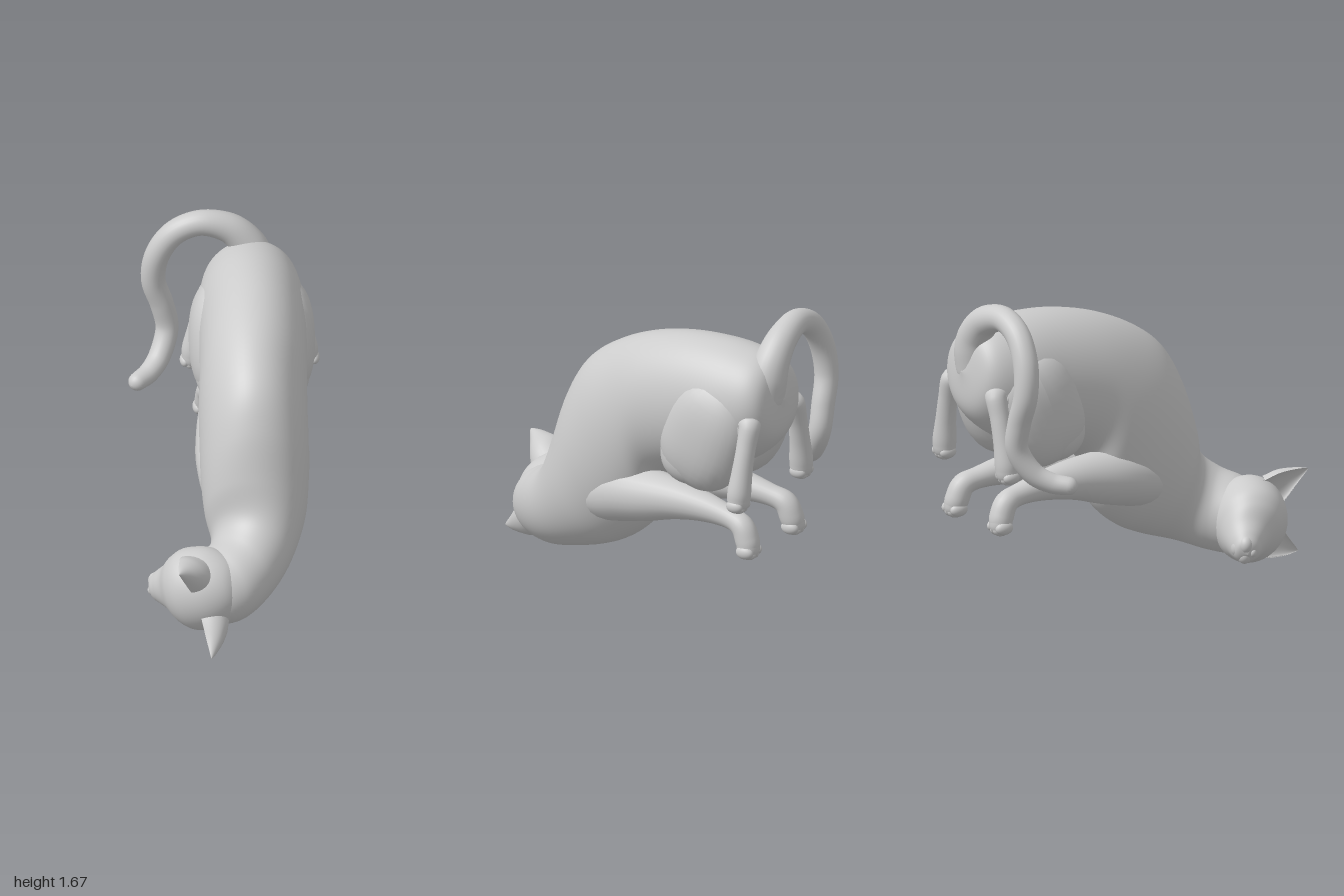
import * as THREE from 'three';

const MAT = new THREE.MeshStandardMaterial({ color: 0xcccccc });
const V = (x, y, z) => new THREE.Vector3(x, y, z);

function named(name, geometry, parent) {
  const mesh = new THREE.Mesh(geometry, MAT);
  mesh.name = name;
  parent.add(mesh);
  return mesh;
}

function group(name, parent) {
  const g = new THREE.Group();
  g.name = name;
  parent.add(g);
  return g;
}

// Skin over rings { c, u, v }; u x v must point along the loft.
// shape(angle) returns the weights of u and v.
function loft(rings, seg = 40, shape = a => [Math.cos(a), Math.sin(a)]) {
  const pos = [], idx = [];
  for (const { c, u, v } of rings) {
    for (let j = 0; j < seg; j++) {
      const [p, q] = shape(j / seg * Math.PI * 2);
      pos.push(c.x + u.x * p + v.x * q, c.y + u.y * p + v.y * q, c.z + u.z * p + v.z * q);
    }
  }
  for (let i = 0; i < rings.length - 1; i++) {
    for (let j = 0; j < seg; j++) {
      const k = (j + 1) % seg;
      const a = i * seg + j, b = i * seg + k, c = b + seg, d = a + seg;
      idx.push(a, b, c, a, c, d);
    }
  }
  const g = new THREE.BufferGeometry();
  g.setAttribute('position', new THREE.Float32BufferAttribute(pos, 3));
  g.setIndex(idx);
  g.computeVertexNormals();
  return g;
}

const spline = pts => new THREE.CatmullRomCurve3(pts, false, 'catmullrom', 0.5);

// Tapered round tube with rounded ends; points are [x, y, z, radius]
function limb(points, steps = 48) {
  const path = spline(points.map(p => V(p[0], p[1], p[2])));
  const radius = spline(points.map(p => V(p[3], 0, 0)));
  const rings = [];
  let n = V(1, 0, 0);
  const add = (t, angle, end) => {
    const T = path.getTangent(t), r = radius.getPoint(t).x;
    n = n.clone().addScaledVector(T, -n.dot(T)).normalize();
    const b = T.clone().cross(n), k = r * Math.cos(angle);
    const c = path.getPoint(t).addScaledVector(T, end * r * Math.sin(angle));
    rings.push({ c, u: n.clone().multiplyScalar(k), v: b.multiplyScalar(k) });
  };
  const Q = Math.PI / 2;
  for (let i = 6; i > 0; i--) add(0, Q * i / 6, -1);
  for (let i = 0; i <= steps; i++) add(i / steps, 0, 0);
  for (let i = 1; i <= 6; i++) add(1, Q * i / 6, 1);
  return loft(rings, 24);
}

// Ellipsoid; a power above 2 makes it fuller towards the corners
function ellipsoid(name, c, r, parent, rotX = 0, power = 2) {
  const g = new THREE.SphereGeometry(1, 32, 20), p = g.attributes.position;
  for (let i = 0; i < p.count; i++) {
    const q = V(0, 0, 0).fromBufferAttribute(p, i);
    const sum = q.toArray().reduce((s, k) => s + Math.abs(k) ** power, 0);
    q.multiplyScalar(sum ** (-1 / power));
    p.setXYZ(i, q.x, q.y, q.z);
  }
  if (power > 2) g.computeVertexNormals();
  const m = named(name, g, parent);
  m.position.set(...c);
  m.scale.set(...r);
  m.rotation.x = rotX;
  return m;
}

// Body sections: back point, belly point, half width, turn of the side axis
function buildBody(parent) {
  const S = [
    [[.15, 1.26, -.985], [.15, 1.26, -.985], 0, 0],
    [[.15, 1.46, -.92], [.14, 1.03, -.955], .21, 0],
    [[.15, 1.525, -.74], [.14, .86, -.76], .28, 0],
    [[.15, 1.53, -.45], [.14, .77, -.47], .288, 0],
    [[.14, 1.478, -.17], [.135, .68, -.25], .288, 0],
    [[.13, 1.38, .07], [.13, .5, -.2], .292, 0],
    [[.13, 1.245, .255], [.13, .37, -.13], .293, 0],
    [[.13, 1.05, .37], [.13, .26, 0], .29, 0],
    [[.11, .8, .45], [.14, .19, .15], .27, .08],
    [[.08, .61, .5], [.12, .125, .36], .225, .35],
    [[.02, .515, .58], [.04, .07, .52], .215, .7],
    [[-.07, .47, .65], [-.07, .05, .64], .215, .9],
    [[-.18, .42, .68], [-.18, .09, .67], .175, 1.1],
    [[-.26, .25, .68], [-.26, .25, .68], 0, 1.1],
  ];
  const top = spline(S.map(s => V(...s[0])));
  const low = spline(S.map(s => V(...s[1])));
  const side = spline(S.map(s => V(Math.cos(s[3]), 0, Math.sin(s[3])).multiplyScalar(s[2])));
  const rings = [];
  for (let i = 0; i <= 130; i++) {
    const t = i / 130, a = top.getPoint(t), b = low.getPoint(t);
    const c = a.clone().add(b).multiplyScalar(.5);
    rings.push({ c, u: side.getPoint(t), v: a.sub(c) });
  }
  named('body', loft(rings, 64), parent);
}

// Four toes in a row across x, half sunk in the end of a paw
function toes(name, x, y, z, r, parent) {
  for (let i = 0; i < 4; i++) {
    const k = i - 1.5, lift = Math.abs(k) > 1 ? .012 : 0;
    ellipsoid(name, [x + k * r * .9, y + lift, z], [r, r * 1.2, r * 1.7], parent);
  }
}

function buildLegs(s, parent) {
  const word = s > 0 ? 'left' : 'right';

  const front = group(word + 'FrontLeg', parent);
  const F = d => .13 + s * d;
  named('foreleg', limb([
    [F(.09), .5, .24, .13], [F(.125), .535, .08, .155], [F(.142), .57, -.05, .16],
    [F(.16), .592, -.2, .147], [F(.18), .615, -.4, .112], [F(.19), .612, -.6, .08],
    [F(.2), .59, -.76, .06], [F(.21), .56, -.845, .064], [F(.215), .49, -.88, .066],
    [F(.22), .45, -.89, .062],
  ]), front);
  toes('frontToe', F(.22), .425, -.893, .031, front);

  const hind = group(word + 'HindLeg', parent);
  const H = d => .145 + s * d;
  ellipsoid('thigh', [H(.165), 1.04, -.61], [.174, .325, .26], hind, -.35, 2.4);
  ellipsoid('knee', [H(.155), .905, -.535], [.155, .175, .21], hind, 0, 2.4);
  named('shank', limb([
    [H(.17), .83, -.55, .08], [H(.17), .95, -.7, .08], [H(.18), 1.09, -.83, .08],
    [H(.21), 1.16, -.9, .062], [H(.25), 1.05, -.905, .053], [H(.28), .92, -.9, .056],
    [H(.3), .81, -.895, .064], [H(.305), .755, -.893, .062],
  ]), hind);
  toes('hindToe', H(.308), .722, -.893, .029, hind);
}

function buildHead(parent) {
  const head = group('head', parent);
  // Local z is the way the face points, local y the crown
  const f = V(-.86, -.33, -.39).normalize();
  const x = V(-.4, -.05, .9).cross(f).normalize();
  head.setRotationFromMatrix(new THREE.Matrix4().makeBasis(x, f.clone().cross(x), f));
  head.position.set(-.17, .26, .66);

  // Skull sections: z, centre height, half width, half height
  const S = [
    [-.25, 0, 0, 0], [-.2, 0, .13, .12], [-.09, 0, .215, .19], [.05, 0, .233, .2],
    [.14, -.01, .195, .17], [.215, -.04, .133, .122], [.28, -.055, .095, .086],
    [.325, -.06, .06, .056], [.345, -.06, 0, 0],
  ];
  const mid = spline(S.map(s => V(0, s[1], s[0])));
  const size = spline(S.map(s => V(s[2], s[3], 0)));
  const rings = [];
  for (let i = 0; i <= 60; i++) {
    const r = size.getPoint(i / 60);
    rings.push({ c: mid.getPoint(i / 60), u: V(r.x, 0, 0), v: V(0, r.y, 0) });
  }
  named('skull', loft(rings, 48), head);

  ellipsoid('nose', [0, -.03, .325], [.026, .02, .022], head);
  ellipsoid('chin', [0, -.11, .27], [.05, .033, .05], head);
  for (const s of [-1, 1]) {
    ellipsoid('muzzle', [s * .032, -.068, .292], [.052, .042, .053], head);
    ellipsoid('eyelid', [s * .107, .025, .185], [.045, .022, .018], head).rotation.set(0, s * .8, s * .3);

    // Ear: crescent sections from base to tip, hollow at the front
    const E = [
      [.11, .06, -.01, .13, .13], [.145, .13, -.02, .13, .125], [.185, .19, -.04, .097, .092],
      [.228, .245, -.058, .054, .05], [.258, .29, -.075, .017, .014], [.268, .305, -.08, 0, 0],
    ];
    const mc = spline(E.map(e => V(s * e[0], e[1], e[2])));
    const ms = spline(E.map(e => V(e[3], e[4], 0)));
    const ear = [];
    for (let i = 0; i <= 24; i++) {
      const r = ms.getPoint(i / 24);
      ear.push({ c: mc.getPoint(i / 24), u: V(0, 0, r.y), v: V(r.x, 0, 0) });
    }
    const crescent = a => [Math.cos(a) * (Math.cos(a) > 0 ? -.4 : 1), Math.sin(a)];
    named('ear', loft(ear, 32, crescent), head);
  }
}

export function createModel() {
  const cat = new THREE.Group();
  cat.name = 'curledCat';
  buildBody(cat);
  buildHead(cat);
  for (const s of [-1, 1]) buildLegs(s, cat);
  named('tail', limb([
    [.17, 1.26, -.88, .105], [.165, 1.37, -.89, .108], [.125, 1.47, -.9, .095],
    [.03, 1.56, -.9, .082], [-.12, 1.6, -.89, .07], [-.26, 1.54, -.89, .068],
    [-.35, 1.4, -.9, .068], [-.372, 1.23, -.915, .066], [-.325, 1.07, -.925, .064],
    [-.298, .92, -.92, .062], [-.34, .79, -.85, .06], [-.4, .735, -.77, .056],
    [-.465, .722, -.7, .05],
  ], 80), cat);
  return cat;
}
